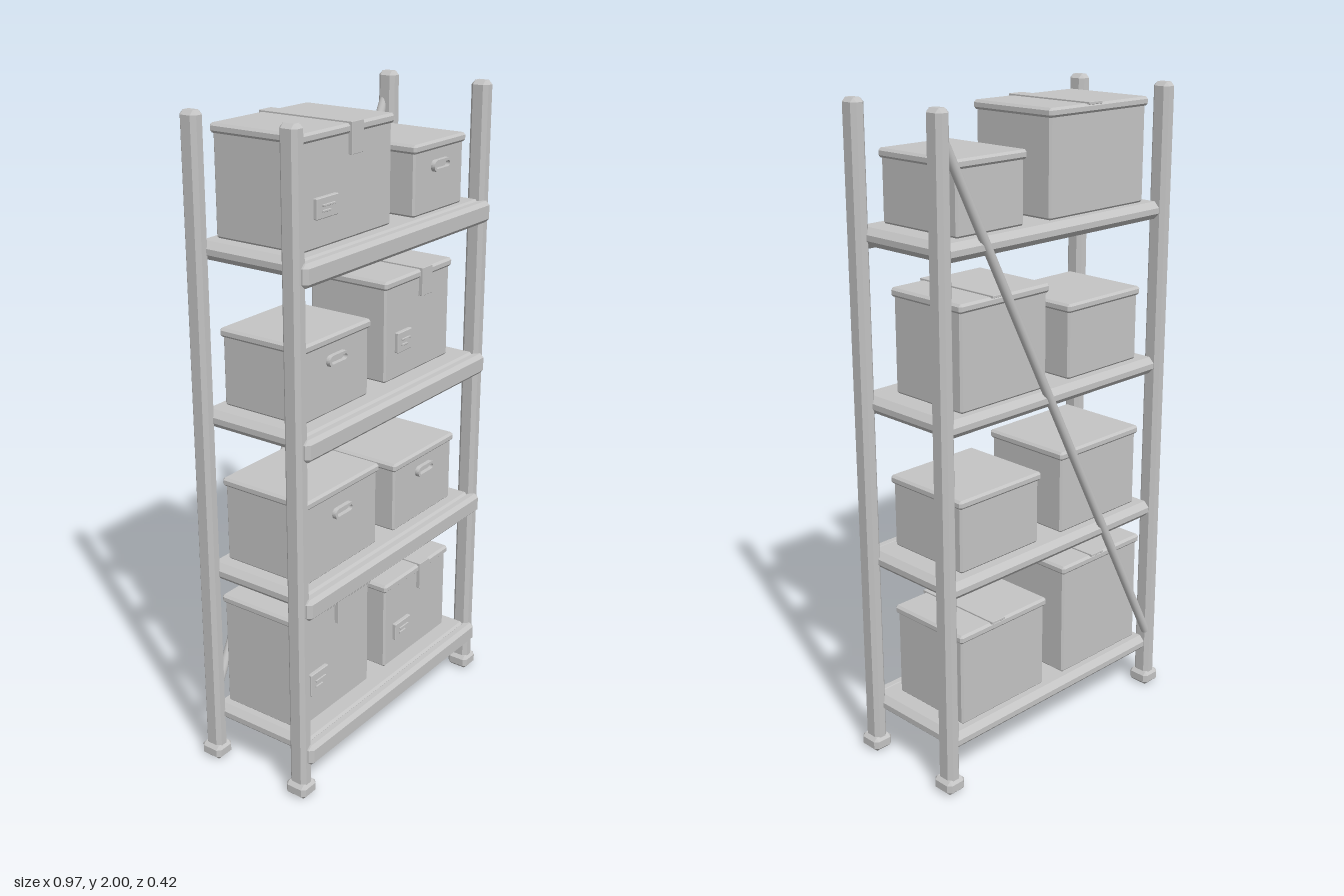
import * as THREE from 'three';
import { ConvexGeometry } from 'three/addons/geometries/ConvexGeometry.js';

const grey = new THREE.MeshStandardMaterial({ color: 0xc4c4c4 });
grey.name = 'light grey';

// Box between two corners with all edges chamfered by c
function chamferBox(name, [x0, x1], [y0, y1], [z0, z1], c) {
  const h = [(x1 - x0) / 2, (y1 - y0) / 2, (z1 - z0) / 2];
  const points = [];
  for (const sx of [-1, 1]) for (const sy of [-1, 1]) for (const sz of [-1, 1]) {
    for (let axis = 0; axis < 3; axis++) {
      const p = h.map((v, i) => (i === axis ? v : v - c));
      points.push(new THREE.Vector3(sx * p[0], sy * p[1], sz * p[2]));
    }
  }
  const mesh = new THREE.Mesh(new ConvexGeometry(points), grey);
  mesh.name = name;
  mesh.position.set((x0 + x1) / 2, (y0 + y1) / 2, (z0 + z1) / 2);
  return mesh;
}

// Pill outline for the grip frame
function pill(path, w, h) {
  const r = h / 2, a = w / 2 - r;
  path.absarc(a, 0, r, -Math.PI / 2, Math.PI / 2, false);
  path.absarc(-a, 0, r, Math.PI / 2, Math.PI * 1.5, false);
  path.closePath();
  return path;
}

// Storage box: body, lid, and either a grip or tape with a label
function storageBox({ x, y, z, grip, tape, label }) {
  const g = new THREE.Group();
  g.name = 'storageBox';
  const inset = 0.007, front = z[1] - inset;
  g.add(chamferBox('boxBody', [x[0] + inset, x[1] - inset], [y[0], y[1] - 0.015],
    [z[0] + inset, front], 0.006));
  g.add(chamferBox('boxLid', x, [y[1] - 0.027, y[1]], z, 0.007));
  if (grip) {
    const shape = pill(new THREE.Shape(), 0.09, 0.034);
    shape.holes.push(pill(new THREE.Path(), 0.072, 0.017));
    const frame = new THREE.Mesh(new THREE.ExtrudeGeometry(shape,
      { depth: 0.014, bevelEnabled: false, curveSegments: 6 }), grey);
    frame.name = 'gripFrame';
    frame.position.set(grip[0], grip[1], front);
    g.add(frame);
  }
  if (tape) {
    const tx = [tape[0] - 0.027, tape[0] + 0.027];
    g.add(chamferBox('tapeTop', tx, [y[1] - 0.003, y[1] + 0.005], [z[0] - 0.004, z[1] + 0.006], 0.001));
    g.add(chamferBox('tapeFront', tx, [tape[1], y[1] + 0.005], [front - 0.002, z[1] + 0.006], 0.001));
  }
  if (label) {
    const [lx0, lx1, ly0, ly1] = label, w = lx1 - lx0, h = ly1 - ly0;
    g.add(chamferBox('label', [lx0, lx1], [ly0, ly1], [front - 0.002, front + 0.012], 0.002));
    [[0.62, 0.8], [0.36, 0.62]].forEach(([v, end]) => {
      const ly = ly0 + h * v;
      g.add(chamferBox('labelLine', [lx0 + w * 0.24, lx0 + w * end], [ly - 0.003, ly + 0.003],
        [front + 0.01, front + 0.016], 0.001));
    });
  }
  return g;
}

export function createModel() {
  const model = new THREE.Group();
  model.name = 'shelvingUnit';

  // Four posts with feet
  for (const x of [-0.452, 0.452]) for (const z of [-0.174, 0.161]) {
    model.add(chamferBox('post', [x - 0.023, x + 0.023], [0.01, 2], [z - 0.029, z + 0.029], 0.012));
    model.add(chamferBox('foot', [x - 0.034, x + 0.034], [0, 0.046], [z - 0.037, z + 0.037], 0.011));
  }

  // Four shelves with front rails
  for (let i = 0; i < 4; i++) {
    const y = 0.178 + i * 0.49;
    model.add(chamferBox('shelf', [-0.445, 0.445], [y - 0.053, y], [-0.191, 0.185], 0.018));
    model.add(chamferBox('frontRail', [-0.457, 0.457], [y - 0.07, y - 0.004], [0.165, 0.207], 0.012));
  }

  // Diagonal brace across the back
  const a = new THREE.Vector3(-0.437, 0.2, -0.186), b = new THREE.Vector3(0.447, 1.925, -0.184);
  const brace = new THREE.Mesh(new THREE.CylinderGeometry(0.014, 0.014, a.distanceTo(b), 16), grey);
  brace.name = 'brace';
  brace.position.copy(a).lerp(b, 0.5);
  brace.quaternion.setFromUnitVectors(new THREE.Vector3(0, 1, 0), b.clone().sub(a).normalize());
  model.add(brace);

  // Boxes, bottom shelf to top; each y range starts on its shelf
  const boxes = [
    { x: [-0.416, -0.05], y: [0.178, 0.552], z: [-0.165, 0.13], tape: [-0.204, 0.467], label: [-0.363, -0.279, 0.276, 0.35] },
    { x: [0.024, 0.387], y: [0.178, 0.478], z: [-0.165, 0.132], tape: [0.237, 0.393], label: [0.077, 0.162, 0.26, 0.318] },
    { x: [-0.4, -0.04], y: [0.668, 0.934], z: [-0.16, 0.15], grip: [-0.223, 0.849] },
    { x: [0.04, 0.374], y: [0.668, 0.897], z: [-0.155, 0.15], grip: [0.207, 0.828] },
    { x: [-0.39, -0.066], y: [1.158, 1.39], z: [-0.16, 0.135], grip: [-0.228, 1.315] },
    { x: [0.02, 0.374], y: [1.158, 1.472], z: [-0.165, 0.125], tape: [0.227, 1.39], label: [0.077, 0.151, 1.242, 1.305] },
    { x: [-0.4, 0.022], y: [1.648, 1.96], z: [-0.162, 0.148], tape: [-0.16, 1.878], label: [-0.34, -0.245, 1.73, 1.787] },
    { x: [0.104, 0.374], y: [1.648, 1.858], z: [-0.156, 0.161], grip: [0.24, 1.784] },
  ];
  boxes.forEach((box) => model.add(storageBox(box)));

  return model;
}
